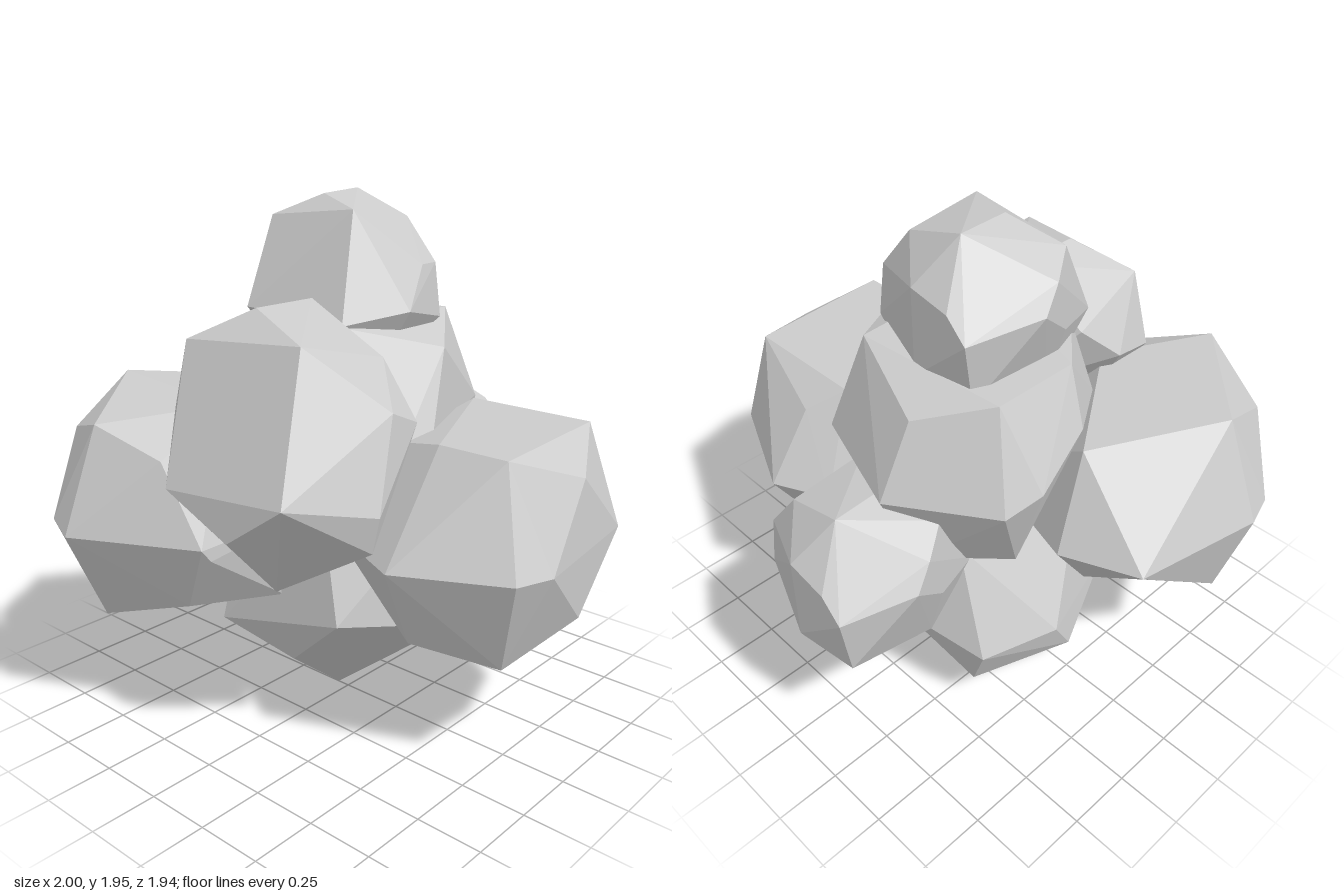
import * as THREE from 'three';
import { ConvexGeometry } from 'three/addons/geometries/ConvexGeometry.js';

const material = new THREE.MeshStandardMaterial({ color: 0xcccccc, flatShading: true });

// A faceted boulder: the convex hull of its corner points.
function rock(name, corners) {
  const points = corners.map((c) => new THREE.Vector3(...c));
  const mesh = new THREE.Mesh(new ConvexGeometry(points), material);
  mesh.name = name;
  return mesh;
}

export function createModel() {
  const group = new THREE.Group();
  group.name = 'rockPile';

  // Lowest rock, resting on one corner
  group.add(rock('baseRock', [
    [-.05, 0, 0], [-.06, .2, .25], [-.38, .3, .32], [-.47, .11, 0], [-.55, .23, -.06], [-.56, .38, -.15],
    [-.38, .17, -.41], [.33, .3, -.06], [.37, .41, .05], [.21, .44, .3], [.3, .66, .1], [.24, .31, -.43],
    [-.15, .45, -.54], [-.47, .38, -.45], [.15, .72, -.37], [-.3, .8, -.4], [-.3, .8, .25], [.1, .85, .25],
  ]));

  // Large rock on the left side
  group.add(rock('leftRock', [
    [.79, 1.18, -.4], [.29, 1.18, -.4], [.83, 1.18, .18], [.56, 1.18, .18], [.3, 1.12, .1],
    [.95, 1.08, -.1], [1, .82, .15], [.93, .82, -.4], [.96, .58, -.1], [.4, 1.09, -.51],
    [.58, .82, .48], [.95, .82, .29], [.84, .82, -.49], [.42, .82, -.68], [.21, .82, -.58], [.2, .82, .3],
    [.84, .45, .18], [.77, .47, -.39], [.57, .52, .34], [.41, .57, -.52], [.2, .53, -.38],
    [.53, .33, -.07], [.37, .39, .1],
  ]));

  // Large rock at the front right
  group.add(rock('rightRock', [
    [-.84, 1.25, .37], [-.43, 1.2, .83], [-.76, 1.12, .11], [-.56, 1.2, -.07], [-.24, 1.22, .4],
    [-.76, 1.1, .68], [-.95, .87, .51], [-1, .89, .36], [-.59, .84, .92], [-.45, .82, .97],
    [-.18, 1.1, .75], [0, .82, .74], [0, .77, .7], [-.48, .46, .8], [-.76, .58, .68],
    [-.89, .51, .35], [-.48, .37, .31], [-.15, .55, .68], [-.08, .48, .28],
    [-.88, .85, -.1], [-.6, .85, -.22], [-.3, .8, -.1], [-.05, .8, .1], [-.55, .55, 0],
  ]));

  // Upper rock leaning out to the front
  group.add(rock('frontRock', [
    [-.02, 1.6, .44], [-.02, 1.6, .17], [.3, 1.53, .56], [-.22, 1.49, .58], [-.11, 1.03, .79],
    [.41, 1.07, .77], [.18, .91, .79], [.21, .69, .6], [.21, .69, .43], [.52, .87, .47],
    [.55, 1, .47], [.5, 1.31, .35], [.49, 1.25, .21], [.35, 1.45, .22], [-.36, 1.29, .35],
    [-.29, 1.42, .21], [-.32, 1.23, .56], [-.02, .76, .5], [0, 1.1, 0],
  ]));

  // Middle rock carrying the top one
  group.add(rock('middleRock', [
    [-.24, 1.15, -.69], [-.25, 1.42, -.56], [.12, 1.51, -.43], [-.47, 1.5, -.38], [-.47, 1.5, -.05],
    [-.3, 1.5, .14], [.15, 1.51, .17], [.2, 1.15, -.54], [-.58, 1.15, -.46], [-.62, 1.2, -.33],
    [-.56, 1.3, -.08], [-.35, 1.2, .22], [.32, 1.42, -.16], [.4, 1.15, 0], [.38, 1.1, .16],
    [.15, .8, .3], [-.2, .75, -.5], [-.2, .6, 0], [.2, .78, -.4], [-.48, .8, -.3],
  ]));

  // Small top rock, and the same rock again lower at the back
  const topRock = rock('topRock', [
    [-.2, 1.95, -.28], [-.18, 1.94, -.07], [.05, 1.9, .03], [-.36, 1.86, .02], [.06, 1.86, -.26],
    [.18, 1.7, -.28], [.19, 1.7, -.19], [.24, 1.55, -.06], [.14, 1.52, .19], [-.32, 1.54, .2],
    [-.35, 1.67, -.41], [-.27, 1.75, -.41], [-.11, 1.78, -.41], [-.46, 1.72, -.17], [-.44, 1.81, -.1],
    [-.42, 1.6, -.03], [-.34, 1.43, -.37], [-.11, 1.45, -.41], [.2, 1.5, -.29],
    [-.15, 1.29, -.25], [-.2, 1.24, -.16], [0, 1.24, .05], [-.32, 1.32, 0], [.1, 1.32, -.05],
  ]);
  const backRock = topRock.clone();
  backRock.name = 'backRock';
  backRock.position.set(0, -.8, -.56);
  group.add(topRock, backRock);

  return group;
}
